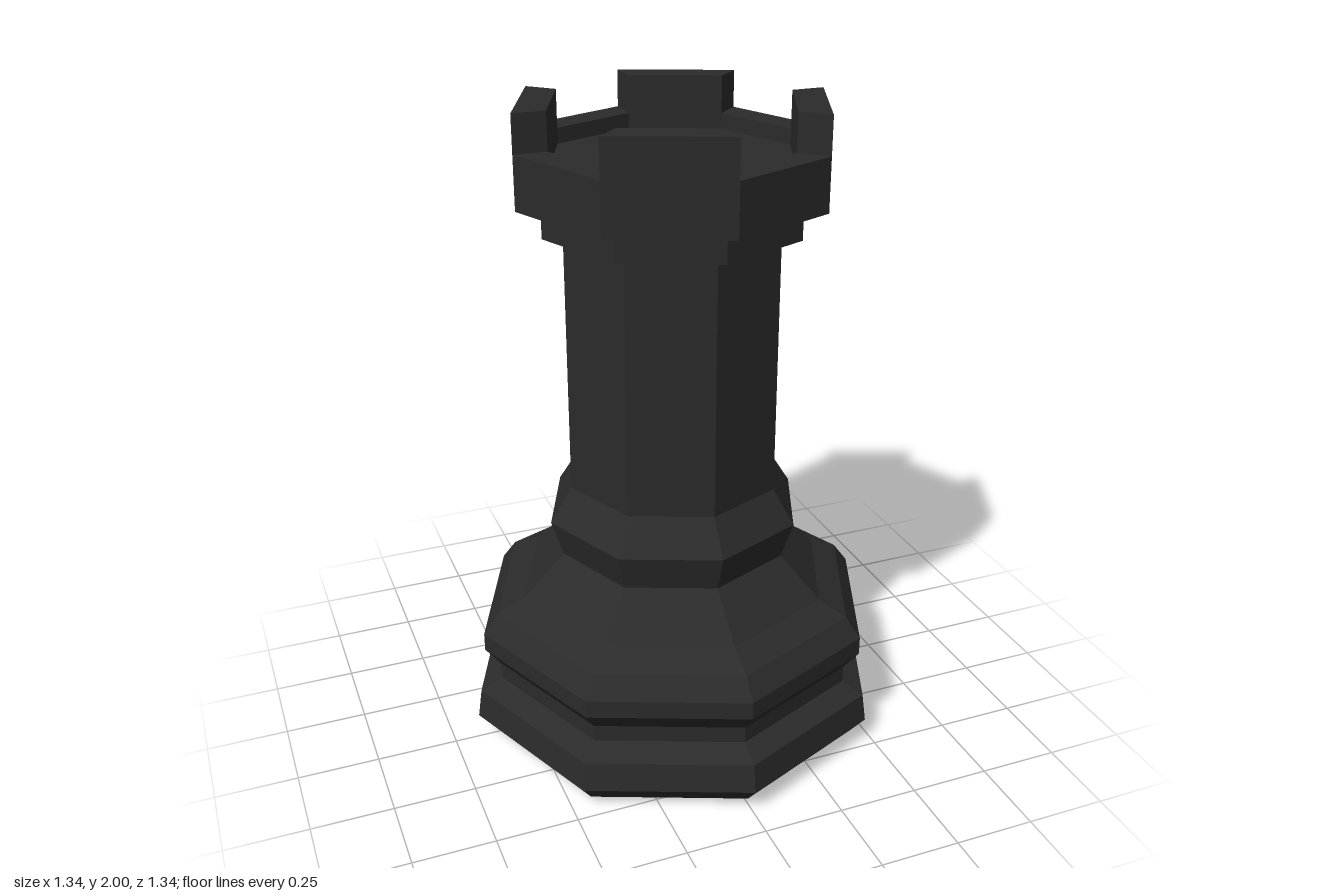
import * as THREE from 'three';

const SIDES = 8;
const material = new THREE.MeshStandardMaterial({ color: 0x2b2b2b, flatShading: true });

// Eight-sided turned part from [radius, height] pairs, listed from bottom to top
function turned(name, profile) {
  const points = profile.map(([r, y]) => new THREE.Vector2(r, y));
  const mesh = new THREE.Mesh(new THREE.LatheGeometry(points, SIDES), material);
  mesh.name = name;
  return mesh;
}

// Battlement block standing on one side of the octagonal rim
function battlement(inner, outer, bottom, top) {
  const step = (Math.PI * 2) / SIDES;
  const corner = (r, a) => new THREE.Vector2(r * Math.sin(a), -r * Math.cos(a));
  const footprint = new THREE.Shape([
    corner(inner, 0), corner(inner, -step), corner(outer, -step), corner(outer, 0),
  ]);
  const geometry = new THREE.ExtrudeGeometry(footprint, { depth: top - bottom, bevelEnabled: false });
  geometry.rotateX(-Math.PI / 2).translate(0, bottom, 0);
  return geometry;
}

export function createModel() {
  const model = new THREE.Group();
  model.name = 'rook';

  // Stepped base with two rounded mouldings and a sloping shoulder
  model.add(turned('base', [
    [0, 0], [0.57, 0], [0.62, 0.02], [0.67, 0.08], [0.657, 0.172],
    [0.588, 0.207], [0.588, 0.26], [0.636, 0.323], [0.636, 0.38],
    [0.588, 0.445], [0.498, 0.487], [0.366, 0.615],
  ]));

  // Flared ring at the foot of the shaft
  model.add(turned('ring', [[0.366, 0.615], [0.404, 0.732], [0.335, 0.842]]));

  model.add(turned('shaft', [[0.335, 0.842], [0.335, 1.64]]));

  // Collar step, crown wall, rim and sunken floor
  model.add(turned('crown', [
    [0.335, 1.64], [0.397, 1.64], [0.397, 1.727], [0.47, 1.727],
    [0.47, 1.887], [0.37, 1.887], [0.37, 1.84], [0, 1.84],
  ]));

  // Battlements on every other side
  const blocks = new THREE.Group();
  blocks.name = 'battlements';
  const blockGeometry = battlement(0.37, 0.47, 1.887, 2);
  for (let i = 0; i < 4; i++) {
    const block = new THREE.Mesh(blockGeometry, material);
    block.name = 'battlement';
    block.rotation.y = (i * Math.PI) / 2;
    blocks.add(block);
  }
  model.add(blocks);

  return model;
}
